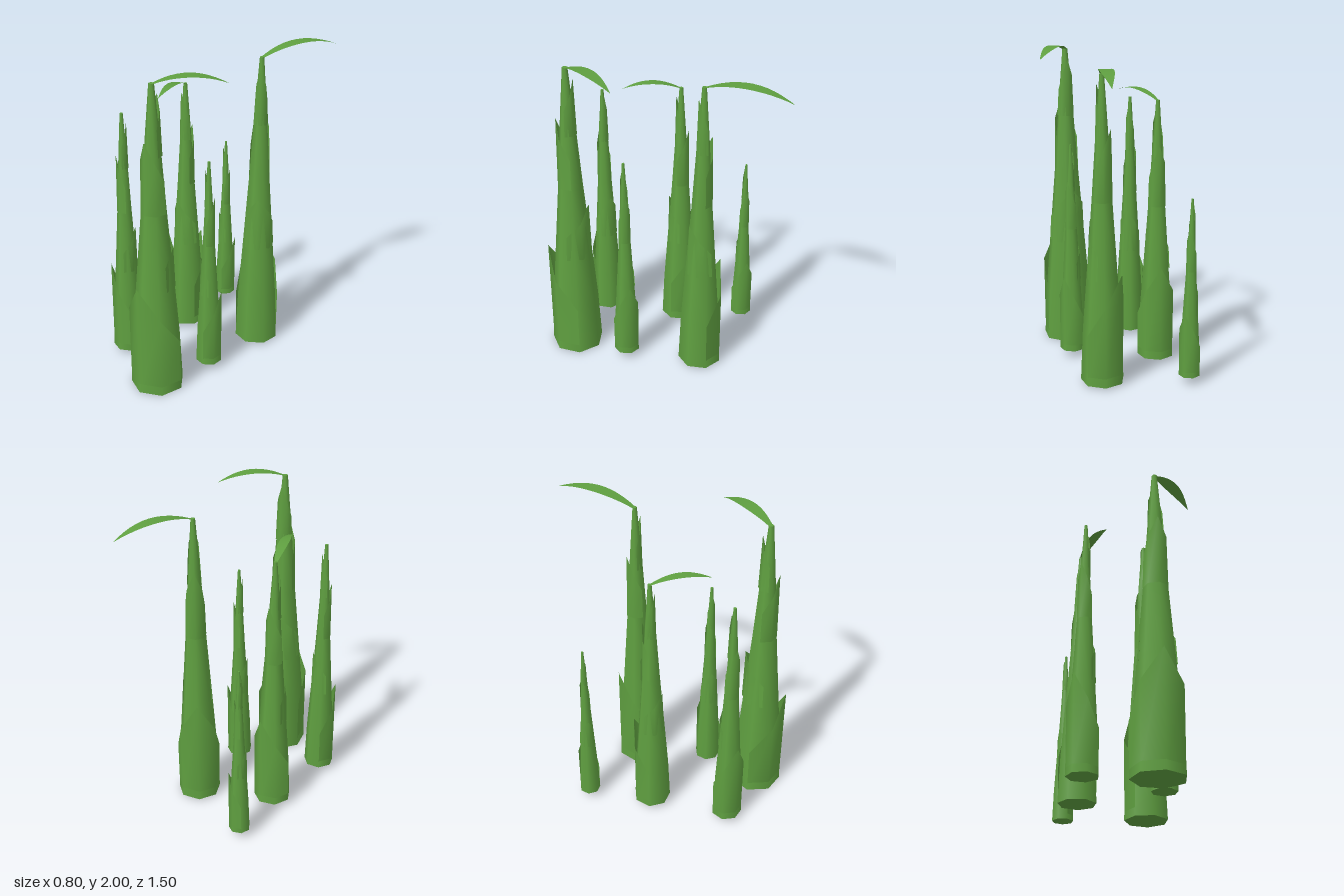
import * as THREE from 'three';

const SIDES = 7, STEP = (Math.PI * 2) / SIDES;
const green = new THREE.MeshStandardMaterial({ color: 0x5f9f40, side: THREE.DoubleSide });

// base x, z, y, height, radius, direction of the first sheath tip (degrees from +z to +x)
// leaf: [end x, y, z, peak y, half width]
const shoots = [
  { x: 0.09, z: 0.58, y: 0, h: 1.96, r: 0.165, dir: 0, leaf: [0.39, 1.945, 0.27, 2.0, 0.042] },
  { x: 0.215, z: -0.24, y: 0.01, h: 1.92, r: 0.137, dir: 214, leaf: [0.395, 1.925, -0.75, 1.985, 0.042] },
  { x: -0.245, z: -0.07, y: 0.035, h: 1.67, r: 0.118, dir: 168, leaf: [-0.147, 1.725, 0.28, 1.755, 0.03] },
  { x: -0.305, z: 0.43, y: 0.035, h: 1.605, r: 0.097, dir: -47, },
  { x: 0.21, z: 0.235, y: 0.045, h: 1.365, r: 0.081, dir: 116 },
  { x: -0.262, z: -0.485, y: 0.05, h: 1.13, r: 0.067, dir: 120 },
];

// core outline as [radius, height] fractions
const core = [[1, 0], [0.9, 0.17], [0.7, 0.37], [0.47, 0.6], [0.27, 0.83], [0.1, 1]];

// sheaths: bottom, tip, bottom radius, top radius (fractions)
const sheaths = [
  [0, 0.37, 0.98, 1.0],
  [0.35, 0.53, 0.71, 0.65],
  [0.6, 0.83, 0.48, 0.44],
  [0.78, 0.965, 0.33, 0.27],
];

function add(group, name, geometry) {
  const mesh = new THREE.Mesh(geometry, green);
  mesh.name = name;
  group.add(mesh);
  return mesh;
}

// grid of points(row, column) turned into a smooth surface
function surface(rows, cols, point) {
  const pos = [], index = [];
  for (let i = 0; i < rows; i++)
    for (let j = 0; j < cols; j++) {
      pos.push(...point(i, j));
      if (i && j) {
        const d = i * cols + j, c = d - 1, b = d - cols, a = b - 1;
        index.push(a, b, d, a, d, c);
      }
    }
  const geo = new THREE.BufferGeometry();
  geo.setAttribute('position', new THREE.Float32BufferAttribute(pos, 3));
  geo.setIndex(index);
  geo.computeVertexNormals();
  return geo;
}

// open wrap over five corners, rising to a point in the middle
function sheathGeometry(s, [bottom, tip, r0, r1], angle) {
  return surface(2, 5, (i, j) => {
    const a = angle + (j - 2) * STEP;
    const r = s.r * (i ? r1 : r0);
    const y = i ? tip - Math.abs(j - 2) * 0.27 * (tip - bottom) : bottom;
    return [Math.sin(a) * r, y * s.h, Math.cos(a) * r];
  });
}

// arched blade, widest near the middle and pointed at the end
function leafGeometry(s) {
  const [ex, ey, ez, peak, half] = s.leaf;
  const start = new THREE.Vector3(0, s.h - 0.005, 0);
  const end = new THREE.Vector3(ex - s.x, ey - s.y, ez - s.z);
  const mid = start.clone().add(end).multiplyScalar(0.5);
  mid.y = 2 * (peak - s.y) - (start.y + end.y) / 2;
  const curve = new THREE.QuadraticBezierCurve3(start, mid, end);
  const across = new THREE.Vector3(end.z, 0, -end.x).normalize();
  const rows = 13;
  return surface(rows, 2, (i, j) => {
    const t = i / (rows - 1);
    const w = half * (0.3 * (1 - t) + 0.85 * Math.sin(Math.PI * t)) * (j ? 1 : -1);
    return curve.getPoint(t).addScaledVector(across, w).toArray();
  });
}

function buildShoot(s) {
  const group = new THREE.Group();
  group.name = 'shoot';
  group.position.set(s.x, s.y, s.z);
  const angle = THREE.MathUtils.degToRad(s.dir);

  const outline = core.map(([r, y]) => new THREE.Vector2(r * s.r, y * s.h));
  add(group, 'stalk', new THREE.LatheGeometry(outline, SIDES, angle));

  // end caps
  for (const top of [false, true]) {
    const cap = new THREE.CircleGeometry(s.r * (top ? 0.1 : 1), SIDES, angle - Math.PI / 2);
    cap.rotateX(top ? -Math.PI / 2 : Math.PI / 2);
    if (!top) cap.rotateY(2 * angle - Math.PI);
    const mesh = add(group, top ? 'stalkTop' : 'stalkBottom', cap);
    if (top) mesh.position.y = s.h;
  }

  // sheaths point alternately to opposite sides
  sheaths.forEach((p, k) => add(group, 'sheath', sheathGeometry(s, p, angle + k * Math.PI)));

  if (s.leaf) add(group, 'leaf', leafGeometry(s));
  return group;
}

export function createModel() {
  const model = new THREE.Group();
  model.name = 'shootCluster';
  shoots.forEach((s) => model.add(buildShoot(s)));
  return model;
}
